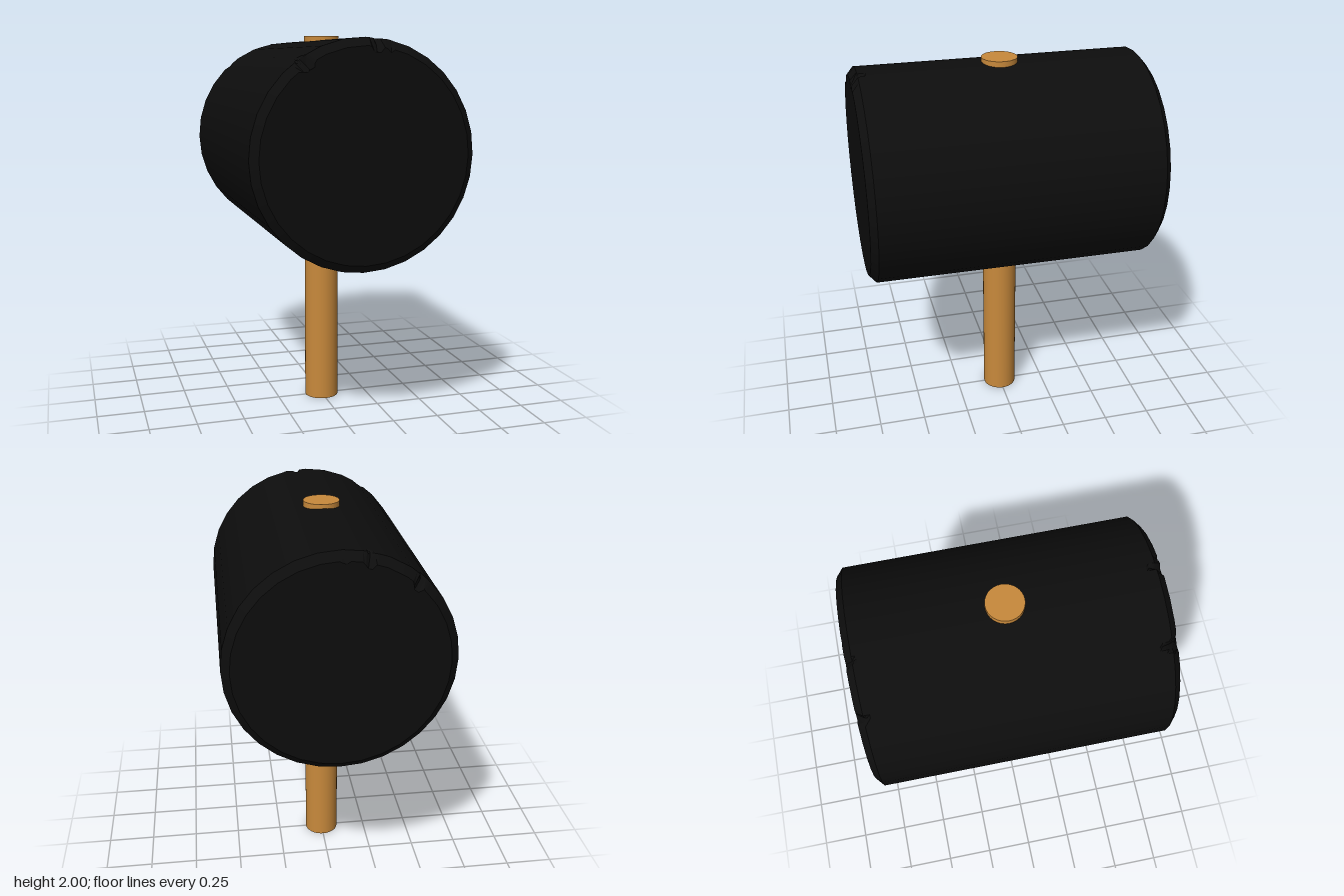
import * as THREE from 'three';
import { toCreasedNormals } from 'three/addons/utils/BufferGeometryUtils.js';

const RADIUS = 0.555, HALF = 0.75, SIDES = 32, CENTRE_Y = 1.425;

// Small chips in the upper rims: end (+1 front, -1 back), x position, half width, reach, depth
const NICKS = [
  [1, -0.31, 0.045, 0.10, 0.045],
  [1, 0.055, 0.035, 0.08, 0.035],
  [1, 0.12, 0.015, 0.05, 0.02],
  [-1, -0.37, 0.03, 0.08, 0.04],
  [-1, -0.13, 0.03, 0.07, 0.035],
  [-1, -0.01, 0.015, 0.06, 0.02],
];

// Scale every vertex's distance from the head's z axis by a rule
function scaleRadius(geometry, rule) {
  const p = geometry.attributes.position;
  for (let i = 0; i < p.count; i++) {
    const x = p.getX(i), y = p.getY(i), z = p.getZ(i);
    const k = rule(Math.atan2(x, y), Math.hypot(x, y), z);
    p.setXY(i, x * k, y * k);
  }
}

function headGeometry() {
  // Bevelled barrel profile, with extra rings near the rims for the chips
  const end = [[0, 0.75], [0.45, 0.75], [0.49, 0.75], [0.515, 0.75], [0.555, 0.715],
    [0.555, 0.70], [0.555, 0.685], [0.555, 0.67], [0.555, 0.655], [0.555, 0.63]];
  const points = [
    ...end.map(([r, z]) => new THREE.Vector2(r, -z)),
    ...end.slice().reverse().map(([r, z]) => new THREE.Vector2(r, z)),
  ];
  let geometry = new THREE.LatheGeometry(points, SIDES * 6);
  geometry.rotateX(Math.PI / 2);

  // V-shaped chips that fade out away from the rim
  scaleRadius(geometry, (a, r, z) => {
    if (r < 0.5) return 1;
    let cut = 0;
    for (const [side, x, width, reach, depth] of NICKS) {
      if (side * z < 0) continue;
      const across = Math.abs(a - Math.asin(x / RADIUS)) * RADIUS / width;
      const w = 1 - across - (HALF - Math.abs(z)) / reach;
      cut = Math.max(cut, depth * Math.min(1, 1.5 * Math.max(0, w)));
    }
    return (r - cut) / r;
  });
  geometry = toCreasedNormals(geometry, 0.45);

  // Flatten the round outline to a polygon while keeping smooth shading
  const step = 2 * Math.PI / SIDES;
  scaleRadius(geometry, (a) => {
    const local = a - (Math.floor(a / step + 1e-4) + 0.5) * step;
    return Math.cos(step / 2) / Math.cos(local);
  });
  return geometry;
}

export function createModel() {
  const model = new THREE.Group();
  model.name = 'mallet';

  const head = new THREE.Mesh(headGeometry(), new THREE.MeshStandardMaterial({ color: 0x0d0d0d }));
  head.name = 'head';
  head.position.y = CENTRE_Y;

  // Handle runs right through the head and just out of its top
  const handle = new THREE.Mesh(
    new THREE.CylinderGeometry(0.092, 0.092, 2, 32),
    new THREE.MeshStandardMaterial({ color: 0xc98a3c }),
  );
  handle.name = 'handle';
  handle.position.y = 1;

  model.add(head, handle);
  return model;
}
